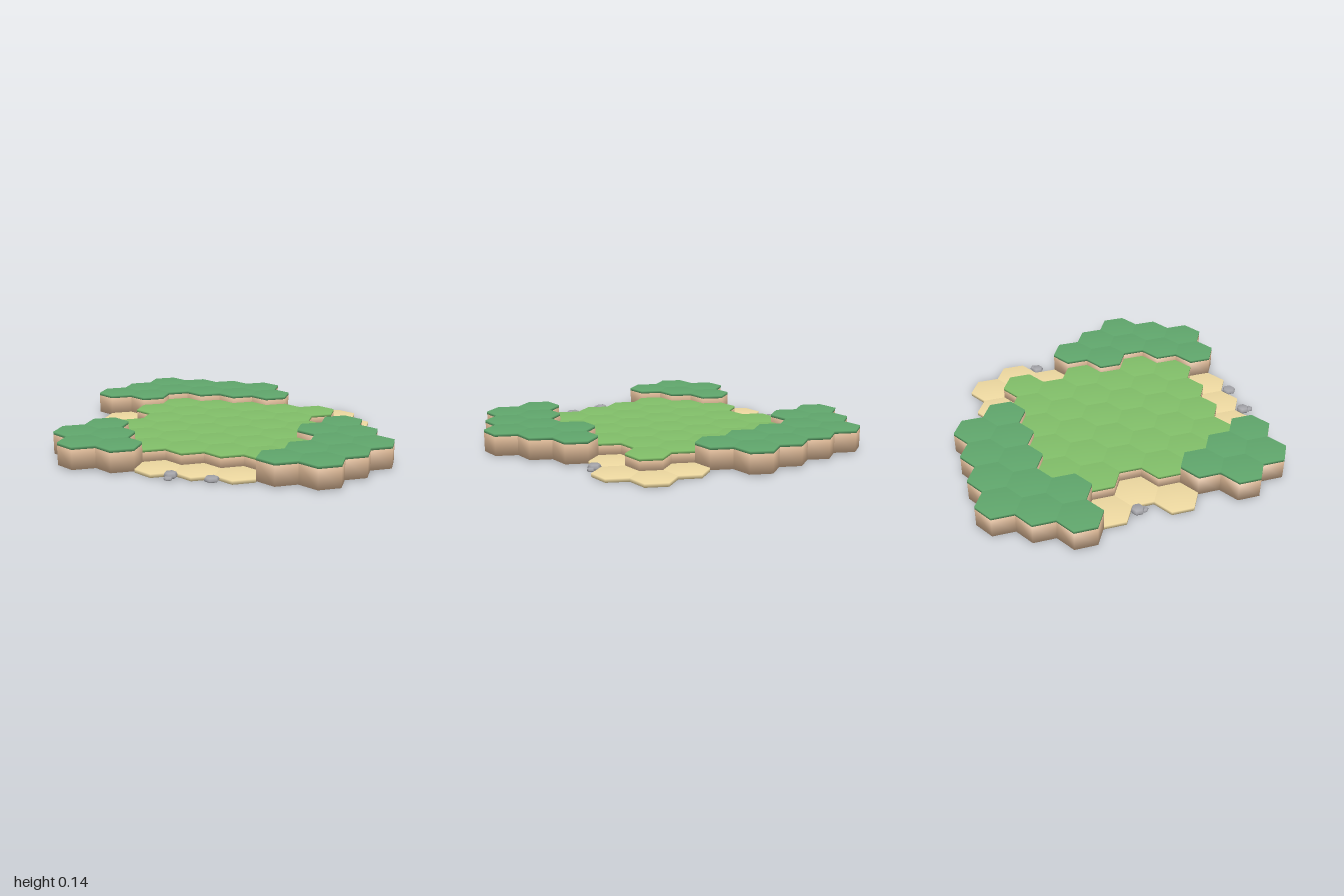
import * as THREE from 'three';

const WIDTH = 2 / 9;                 // flat-to-flat width of one hex tile
const RADIUS = WIDTH / Math.sqrt(3);
const ROW_STEP = RADIUS * 1.5;
const FIRST_ROW_Z = -0.795;

const material = (color) => new THREE.MeshStandardMaterial({ color });

// Six-sided solid, softly shaded, from a [radius, height] profile
function hexSolid(profile) {
  return new THREE.LatheGeometry(profile.map(([r, y]) => new THREE.Vector2(r, y)), 6);
}

// Straight hex slab between two heights
const slab = (y0, y1, r = RADIUS) => hexSolid([[0, y0], [r, y0], [r, y1], [0, y1]]);

// Tile rows from back to front: first tile x in half-widths, then one letter per tile
// H = high grass, L = low grass, S = sand
const ROWS = [
  [-6, 'HHHH'],
  [-7, 'HHHHHSS'],
  [-8, 'HHLLLLLS'],
  [-7, 'SLLLLLS'],
  [-6, 'SLLLLLH'],
  [-7, 'SLLLLLHH'],
  [-6, 'HLLLLLHH'],
  [-7, 'HHLLLLHH'],
  [-6, 'HHSSSHH'],
];

// Shore rocks: x, z, radius, height
const ROCKS = [
  [0.70, -0.262, 0.038, 0.03],
  [0.735, -0.28, 0.022, 0.018],
  [-0.815, -0.068, 0.04, 0.03],
  [-0.815, -0.032, 0.025, 0.016],
  [-0.115, 0.858, 0.038, 0.03],
  [-0.115, 0.9, 0.025, 0.016],
  [0.11, 0.862, 0.043, 0.023],
];

export function createModel() {
  const group = new THREE.Group();
  group.name = 'hexTerrain';

  const earth = material(0xd3b08f);
  const GROUND = 0.008;
  const tileParts = {
    H: [
      ['highEarth', slab(GROUND, 0.121), earth],
      ['highGrass', slab(0.121, 0.137), material(0x5fa56b)],
    ],
    L: [
      ['lowEarth', slab(GROUND, 0.075), earth],
      ['lowGrass', slab(0.075, 0.09), material(0x80bd68)],
    ],
    S: [['sand', slab(0, 0.021), material(0xedd8a0)]],
  };

  // Tiles
  ROWS.forEach(([start, letters], row) => {
    [...letters].forEach((letter, i) => {
      const tile = new THREE.Group();
      tile.name = { H: 'highTile', L: 'lowTile', S: 'sandTile' }[letter];
      tile.position.set((start / 2 + i) * WIDTH, 0, FIRST_ROW_Z + row * ROW_STEP);
      for (const [name, geometry, mat] of tileParts[letter]) {
        const mesh = new THREE.Mesh(geometry, mat);
        mesh.name = name;
        tile.add(mesh);
      }
      group.add(tile);
    });
  });

  // Rocks
  const stone = material(0xa3a3a8);
  for (const [x, z, r, h] of ROCKS) {
    const geometry = hexSolid([[0, 0], [r * 0.85, 0], [r, h * 0.4], [r * 0.8, h], [0, h]]);
    const rock = new THREE.Mesh(geometry, stone);
    rock.name = 'rock';
    rock.position.set(x, GROUND, z);
    group.add(rock);
  }

  return group;
}
